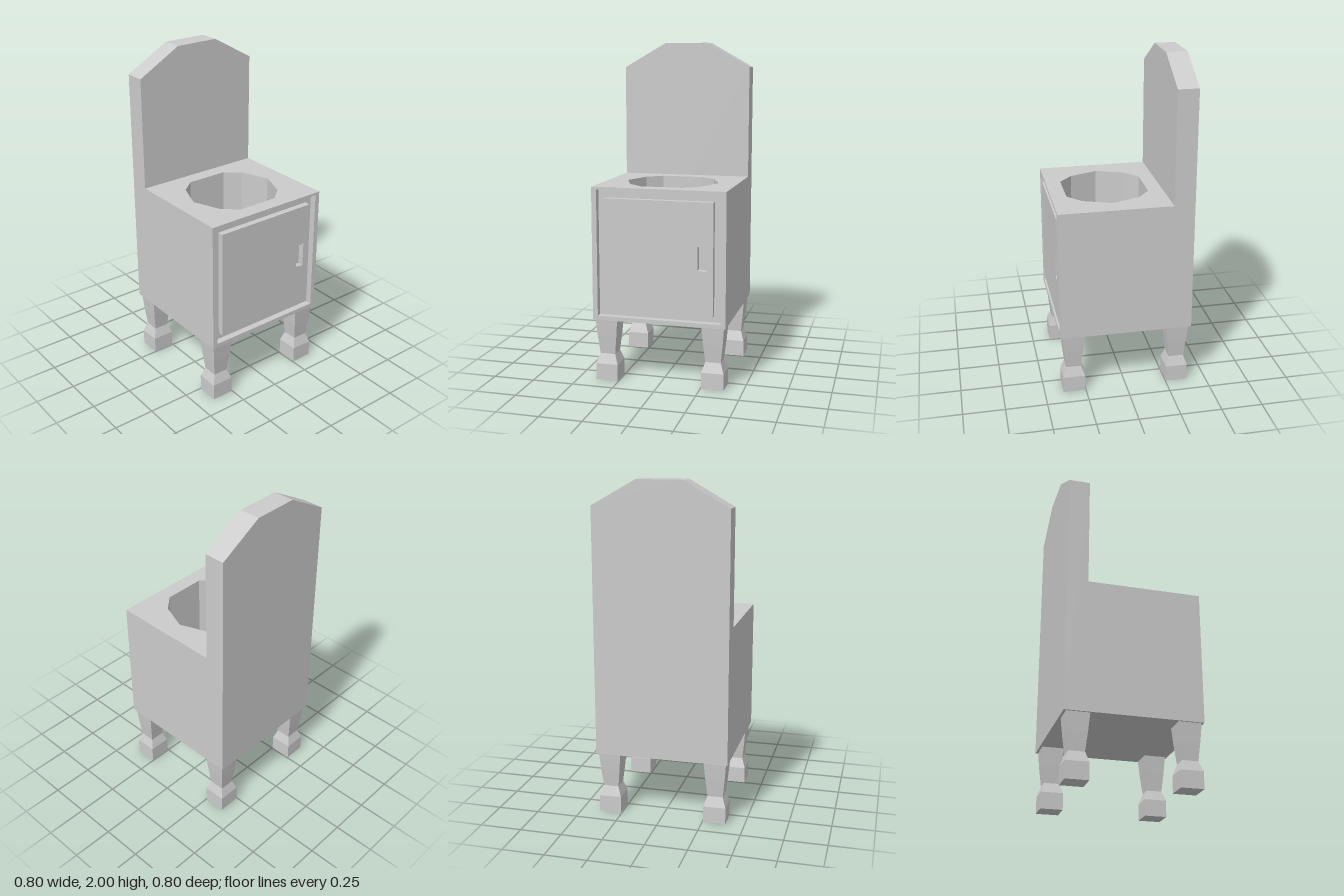
import * as THREE from 'three';

const material = new THREE.MeshStandardMaterial({ color: 0xcccccc, flatShading: true });

function addMesh(parent, name, geometry, x = 0, y = 0, z = 0) {
  const mesh = new THREE.Mesh(geometry, material);
  mesh.name = name;
  mesh.position.set(x, y, z);
  parent.add(mesh);
  return mesh;
}

const toPoints = (list) => list.map(([x, y]) => new THREE.Vector2(x, y));
const rect = (x0, y0, x1, y1) => [[x0, y0], [x1, y0], [x1, y1], [x0, y1]];

// Straight extrusion of an outline with an optional hole
function plate(outline, depth, hole) {
  const shape = new THREE.Shape(toPoints(outline));
  if (hole) shape.holes.push(new THREE.Path(toPoints(hole)));
  return new THREE.ExtrudeGeometry(shape, { depth, bevelEnabled: false });
}

export function createModel() {
  const model = new THREE.Group();
  const bottom = 0.375, seatY = 1.17, potFloor = 0.67;
  const backZ = -0.4, slabFront = -0.275, recessZ = 0.36, frontZ = 0.4;

  // Tall back panel with a clipped top
  addMesh(model, 'backPanel', plate([
    [-0.4, bottom], [0.4, bottom], [0.4, 1.85], [0.135, 2], [-0.135, 2], [-0.4, 1.85],
  ], slabFront - backZ), 0, 0, backZ);

  // Lower cabinet, which also closes the bottom of the pot well
  const depth = recessZ - slabFront;
  addMesh(model, 'cabinetBase', new THREE.BoxGeometry(0.8, potFloor - bottom, depth),
    0, (potFloor + bottom) / 2, (recessZ + slabFront) / 2);

  // Upper cabinet with a ten-sided well (outline y is -z)
  const halfWell = [[0.128, 0.185], [0.218, 0.11], [0.283, -0.06], [0.218, -0.228], [0.128, -0.308]];
  const well = [...halfWell, ...halfWell.map(([x, y]) => [-x, y]).reverse()];
  const seat = addMesh(model, 'seatWithWell',
    plate(rect(-0.4, -recessZ, 0.4, -slabFront), seatY - potFloor, well), 0, potFloor, 0);
  seat.rotation.x = -Math.PI / 2;

  // Front frame around the recessed door
  addMesh(model, 'doorFrame', plate(rect(-0.4, bottom, 0.4, seatY), frontZ - recessZ,
    rect(-0.37, 0.4, 0.37, 1.155)), 0, 0, recessZ);

  // Door with a sunken finger pull
  addMesh(model, 'door', plate(rect(-0.33, 0.44, 0.325, 1.105), 0.037,
    [[0.235, 0.71], [0.29, 0.703], [0.29, 0.857], [0.235, 0.847]]), 0, 0, recessZ);

  // Four square legs with a narrow ankle and block foot
  const profile = toPoints([
    [0, 0], [0.067, 0], [0.067, 0.1], [0.046, 0.16], [0.058, 0.27], [0.067, bottom], [0, bottom],
  ].map(([half, y]) => [half * Math.SQRT2, y]));
  const legGeometry = new THREE.LatheGeometry(profile, 4).rotateY(Math.PI / 4);
  for (const [zName, z] of [['front', 0.32], ['back', -0.318]]) {
    for (const [xName, x] of [['Left', 0.322], ['Right', -0.322]]) {
      addMesh(model, `${zName}${xName}Leg`, legGeometry, x, 0, z);
    }
  }
  return model;
}
